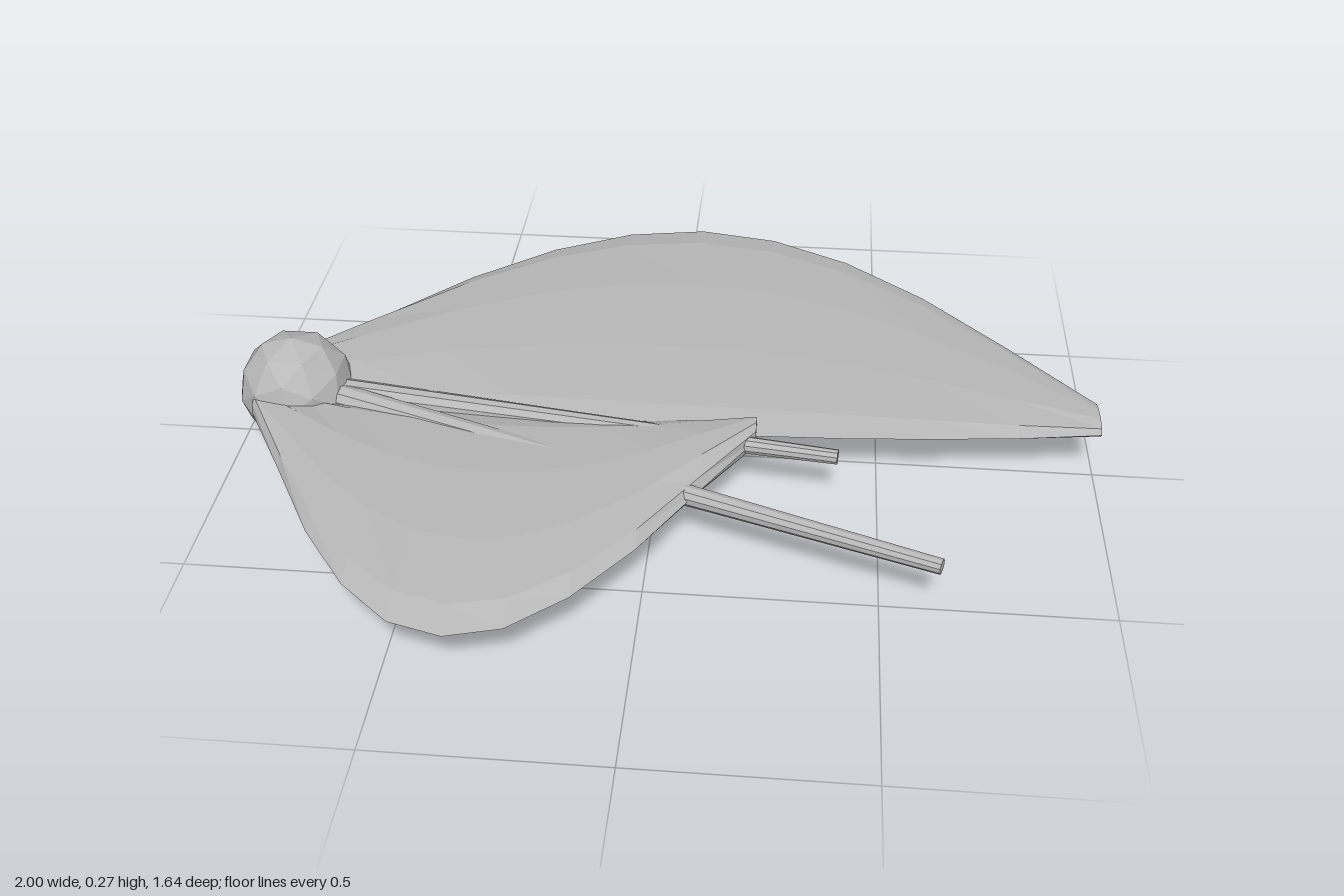
import * as THREE from 'three';

const MID_Y = 0.137;

// Flattened ten-sided tube along x; far and near list the z of its two edges at even stations
function makeWing(name, material, x0, x1, far, near, thick0, thick1) {
  const geo = new THREE.CylinderGeometry(1, 1, 1, 10, far.length - 1);
  const pos = geo.attributes.position;
  for (let i = 0; i < pos.count; i++) {
    const t = pos.getY(i) + 0.5;
    const k = Math.round(t * (far.length - 1));
    const centre = (far[k] + near[k]) / 2;
    const half = (near[k] - far[k]) / 2;
    pos.setXYZ(
      i,
      THREE.MathUtils.lerp(x0, x1, t),
      MID_Y - pos.getX(i) * THREE.MathUtils.lerp(thick0, thick1, t),
      centre + pos.getZ(i) * half
    );
  }
  geo.computeVertexNormals();
  const mesh = new THREE.Mesh(geo, material);
  mesh.name = name;
  return mesh;
}

// Tapered rod lying level between two points
function makeRod(name, material, from, to, r0, r1) {
  const dir = to.clone().sub(from);
  const mesh = new THREE.Mesh(new THREE.CylinderGeometry(r1, r0, dir.length(), 10), material);
  mesh.position.copy(from).addScaledVector(dir, 0.5);
  mesh.quaternion.setFromUnitVectors(new THREE.Vector3(0, 1, 0), dir.normalize());
  mesh.name = name;
  return mesh;
}

export function createModel() {
  const group = new THREE.Group();
  group.name = 'wingedBody';
  const grey = new THREE.MeshStandardMaterial({ color: 0xb8b8b8, flatShading: true });
  grey.name = 'plainGrey';

  // Faceted ball at the root
  const ball = new THREE.Mesh(new THREE.IcosahedronGeometry(0.135, 1), grey);
  ball.name = 'rootBall';
  ball.position.set(-0.865, MID_Y, 0);
  group.add(ball);

  // Large rear wing
  group.add(makeWing('rearWing', grey, -0.93, 1,
    [-0.1, -0.32, -0.53, -0.69, -0.79, -0.825, -0.79, -0.69, -0.53, -0.32, -0.09],
    [0.03, 0.055, 0.075, 0.09, 0.1, 0.105, 0.103, 0.095, 0.08, 0.06, 0.03],
    0.035, 0.018));

  // Smaller front wing
  group.add(makeWing('frontWing', grey, -0.94, 0.22,
    [0.05, 0.055, 0.062, 0.068, 0.07, 0.07, 0.07, 0.068, 0.062, 0.055, 0.05],
    [0.12, 0.32, 0.525, 0.683, 0.785, 0.817, 0.785, 0.683, 0.525, 0.32, 0.12],
    0.035, 0.035));

  // Two rods fanning out from the ball through the wings
  const root = new THREE.Vector3(-0.865, MID_Y, 0);
  [['shortRod', 0.405, 0.165], ['longRod', 0.62, 0.52]].forEach(([name, x, z]) => {
    group.add(makeRod(name, grey, root, new THREE.Vector3(x, MID_Y, z), 0.035, 0.017));
  });

  return group;
}
